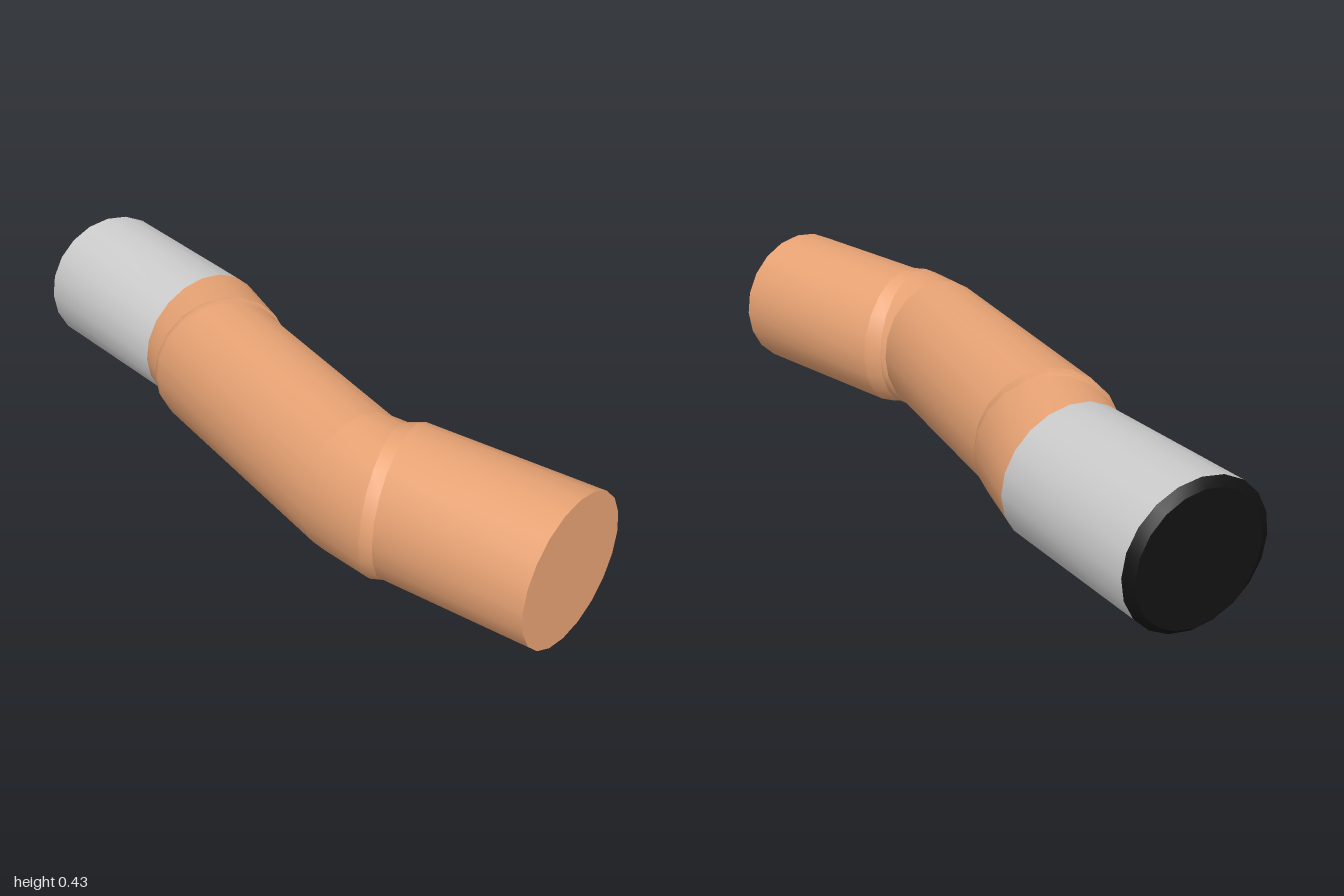
import * as THREE from 'three';

const SIDES = 20;
const MID_Y = 0.2125;

// A ring is a tilted ellipse: [back x, back z, front x, front z, vertical radius]
function ringPoint([bx, bz, fx, fz, ry], j) {
  const a = (j / SIDES) * Math.PI * 2;
  const c = Math.cos(a) / 2;
  return [
    (bx + fx) / 2 + (fx - bx) * c,
    MID_Y + ry * Math.sin(a),
    (bz + fz) / 2 + (fz - bz) * c,
  ];
}

function makeMesh(name, points, index, material) {
  const geometry = new THREE.BufferGeometry();
  geometry.setAttribute('position', new THREE.Float32BufferAttribute(points.flat(), 3));
  geometry.setIndex(index);
  geometry.computeVertexNormals();
  const mesh = new THREE.Mesh(geometry, material);
  mesh.name = name;
  return mesh;
}

// Smooth skin through rings running from -x to +x
function loft(name, rings, material) {
  const points = [];
  const index = [];
  rings.forEach((ring, i) => {
    for (let j = 0; j < SIDES; j++) {
      points.push(ringPoint(ring, j));
      if (i === rings.length - 1) continue;
      const k = (j + 1) % SIDES;
      const a = i * SIDES + j, b = i * SIDES + k;
      index.push(a, a + SIDES, b, b, a + SIDES, b + SIDES);
    }
  });
  return makeMesh(name, points, index, material);
}

// Flat disc closing a ring, facing +x or -x
function cap(name, ring, facing, material) {
  const points = [[(ring[0] + ring[2]) / 2, MID_Y, (ring[1] + ring[3]) / 2]];
  const index = [];
  for (let j = 0; j < SIDES; j++) {
    points.push(ringPoint(ring, j));
    const a = j + 1, b = ((j + 1) % SIDES) + 1;
    if (facing > 0) index.push(0, b, a);
    else index.push(0, a, b);
  }
  return makeMesh(name, points, index, material);
}

export function createModel() {
  const group = new THREE.Group();
  group.name = 'bentTube';
  const orange = new THREE.MeshStandardMaterial({ color: 0xe8a374 });
  const grey = new THREE.MeshStandardMaterial({ color: 0xcccccc });
  const black = new THREE.MeshStandardMaterial({ color: 0x111111 });

  // Rings along the tube
  const tip = [-0.915, -0.37, -1.0, -0.01, 0.19];
  const sleeveStart = [-0.885, -0.385, -0.99, 0.022, 0.2115];
  const sleeveEnd = [-0.42, -0.32, -0.483, 0.102, 0.197];
  const neckEnd = [-0.205, -0.215, -0.412, 0.13, 0.209];
  const bodyStart = [-0.18, -0.19, -0.382, 0.157, 0.2125];
  const bodyStep = [-0.205, -0.205, -0.4, 0.15, 0.2125];
  const elbow = [0.425, 0.005, 0.345, 0.355, 0.2125];
  const bodyEnd = [0.437, -0.005, 0.545, 0.375, 0.2125];
  const armStart = [0.47, -0.04, 0.575, 0.36, 0.2125];
  const armEnd = [1.0, -0.09, 1.0, 0.332, 0.2125];

  // Dark bevelled tip and grey sleeve
  group.add(cap('tipFace', tip, -1, black));
  group.add(loft('tipBevel', [tip, sleeveStart], black));
  group.add(loft('sleeve', [sleeveStart, sleeveEnd], grey));

  // First joint: neck, small step, middle body
  group.add(loft('neck', [sleeveEnd, neckEnd], orange));
  group.add(loft('firstJointStep', [neckEnd, bodyStep, bodyStart], orange));
  group.add(loft('middleBody', [bodyStart, elbow], orange));

  // Second joint: elbow, small step, end section
  group.add(loft('elbow', [elbow, bodyEnd], orange));
  group.add(loft('secondJointStep', [bodyEnd, armStart], orange));
  group.add(loft('endSection', [armStart, armEnd], orange));
  group.add(cap('endFace', armEnd, 1, orange));

  return group;
}
